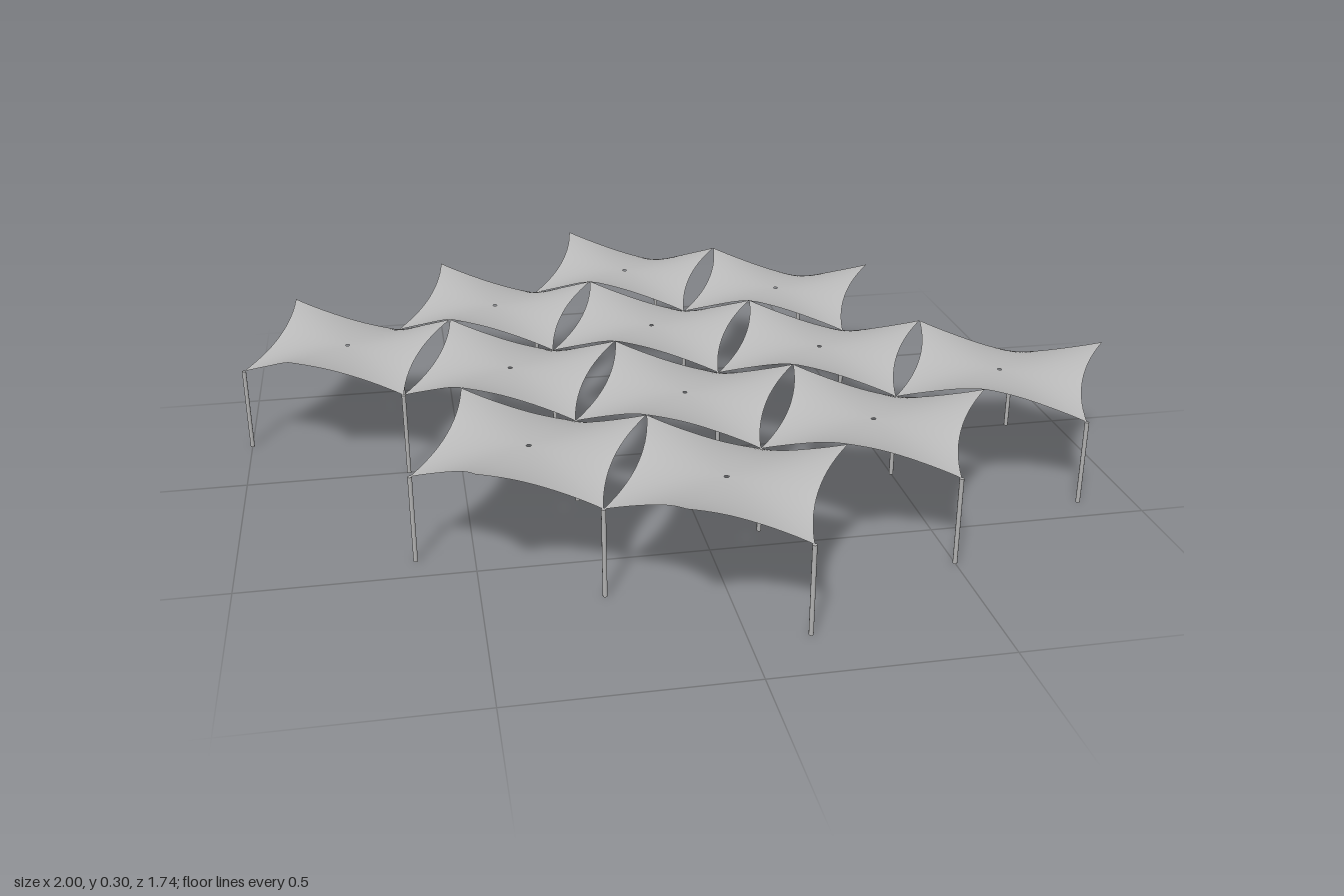
import * as THREE from 'three';

const R = 0.25;                       // hexagon corner radius
const ROW = R * Math.sqrt(3) / 2;     // half the hexagon's depth
const MID = 0.25, RISE = 0.05;        // canopy centre height, corner lift
const SAG = 0.027;                    // inward curve of each edge
const HOLE = 0.006;                   // small eyelet in the centre

// Hexagon centres as [column, row] on a staggered lattice
const CELLS = [[0, -3], [-1, -2], [1, -2], [-2, -1], [0, -1], [-1, 0],
  [1, 0], [0, 1], [2, 1], [-1, 2], [1, 2], [0, 3]];

// Point on the scalloped hexagon outline, u in 0..6
function outline(u) {
  const k = Math.floor(u), t = u - k;
  const a = k * Math.PI / 3, b = a + Math.PI / 3, m = a + Math.PI / 6;
  const pull = SAG * 4 * t * (1 - t);
  return [
    R * ((1 - t) * Math.cos(a) + t * Math.cos(b)) - pull * Math.cos(m),
    R * ((1 - t) * Math.sin(a) + t * Math.sin(b)) - pull * Math.sin(m),
  ];
}

// Tensioned membrane: corners alternate high and low around a level centre
function canopyGeometry() {
  const rings = 16, perSide = 14, n = perSide * 6;
  const pos = [], idx = [];
  for (let i = 0; i <= rings; i++) {
    const s = HOLE / R + (1 - HOLE / R) * i / rings;
    for (let j = 0; j < n; j++) {
      const [ox, oz] = outline(j / perSide);
      const x = ox * s, z = oz * s;
      const lift = Math.cos(3 * Math.atan2(z, x)) * Math.pow(Math.hypot(x, z) / R, 2.4);
      pos.push(x, MID + RISE * lift, z);
      if (i < rings) {
        const a = i * n + j, b = i * n + (j + 1) % n;
        idx.push(a, b, a + n, b, b + n, a + n);
      }
    }
  }
  const g = new THREE.BufferGeometry();
  g.setAttribute('position', new THREE.Float32BufferAttribute(pos, 3));
  g.setIndex(idx);
  g.computeVertexNormals();
  return g;
}

export function createModel() {
  const model = new THREE.Group();
  model.name = 'hexagonalCanopies';

  const fabric = new THREE.MeshStandardMaterial({ color: 0xb8b8b8, side: THREE.DoubleSide });
  fabric.name = 'grey fabric';
  const metal = new THREE.MeshStandardMaterial({ color: 0xb0b0b0 });
  metal.name = 'grey metal';

  const canopyGeo = canopyGeometry();
  const postHeight = MID - RISE;
  const postGeo = new THREE.CylinderGeometry(0.005, 0.005, postHeight, 10);
  const placed = new Set();

  for (const [col, row] of CELLS) {
    const cx = col * R * 1.5, cz = row * ROW;
    const canopy = new THREE.Mesh(canopyGeo, fabric);
    canopy.name = 'canopy';
    canopy.position.set(cx, 0, cz);
    model.add(canopy);

    // One post under each low corner, shared between neighbours
    for (const k of [1, 3, 5]) {
      const x = cx + R * Math.cos(k * Math.PI / 3);
      const z = cz + R * Math.sin(k * Math.PI / 3);
      const key = Math.round(x * 100) + ',' + Math.round(z * 100);
      if (placed.has(key)) continue;
      placed.add(key);
      const post = new THREE.Mesh(postGeo, metal);
      post.name = 'post';
      post.position.set(x, postHeight / 2, z);
      model.add(post);
    }
  }
  return model;
}
